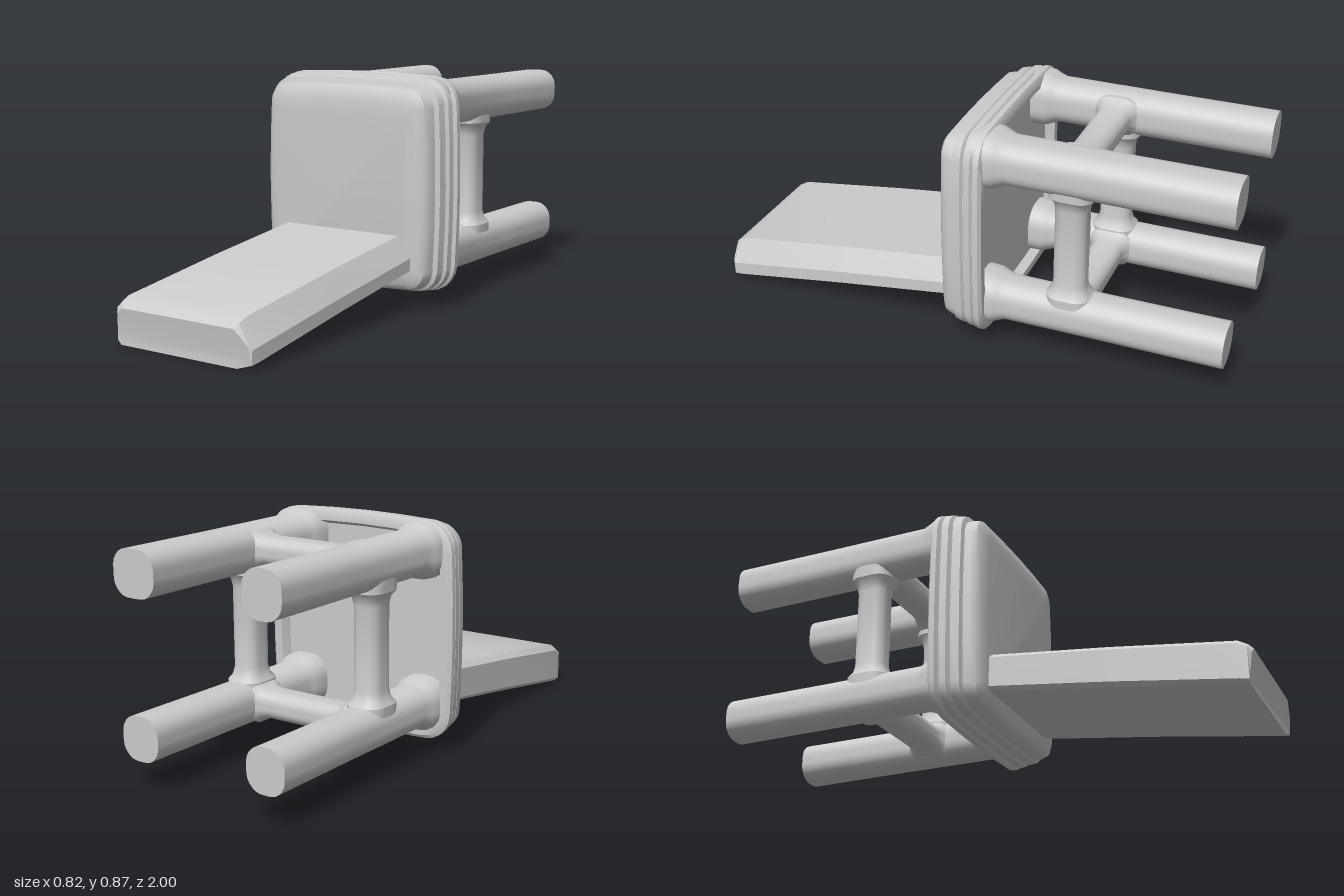
import * as THREE from 'three';
import { toCreasedNormals } from 'three/addons/utils/BufferGeometryUtils.js';

const material = new THREE.MeshStandardMaterial({ color: 0xcccccc });

// Rounded rectangle ring, counter-clockwise seen from +z, with softly bowed sides
function ring(z, x0, x1, y0, y1, r, bow = 0, steps = 5) {
  const cx = (x0 + x1) / 2, cy = (y0 + y1) / 2, hw = (x1 - x0) / 2, hh = (y1 - y0) / 2;
  const points = [];
  const add = (u, v) => {
    const bx = bow * (1 - (v / hh) ** 2), by = bow * (1 - (u / hw) ** 2);
    points.push(new THREE.Vector3(
      cx + u + Math.sign(u) * (bx - bow) * (Math.abs(u) / hw),
      cy + v + Math.sign(v) * (by - bow) * (Math.abs(v) / hh), z));
  };
  const corners = [[1, 1], [-1, 1], [-1, -1], [1, -1]];
  corners.forEach(([sx, sy], k) => {
    for (let i = 0; i <= steps; i++) {
      const a = (k + i / steps) * Math.PI / 2;
      add(sx * (hw - r) + r * Math.cos(a), sy * (hh - r) + r * Math.sin(a));
    }
    // Extra points along the straight side so that it can bow
    const [nx, ny] = corners[(k + 1) % 4];
    const end = (k + 1) * Math.PI / 2;
    for (let i = 1; i < 4; i++) {
      const t = i / 4;
      add(THREE.MathUtils.lerp(sx, nx, t) * (hw - r) + r * Math.cos(end),
        THREE.MathUtils.lerp(sy, ny, t) * (hh - r) + r * Math.sin(end));
    }
  });
  return points;
}

// Skin over rings ordered from +z to -z, with both ends closed
function loft(rings, crease = 0.6) {
  const n = rings[0].length, positions = [], index = [];
  for (const points of rings) for (const p of points) positions.push(p.x, p.y, p.z);
  for (let i = 0; i < rings.length - 1; i++) {
    for (let j = 0; j < n; j++) {
      const a = i * n + j, d = i * n + (j + 1) % n;
      index.push(a, a + n, d, d, a + n, d + n);
    }
  }
  const last = (rings.length - 1) * n;
  for (let j = 1; j < n - 1; j++) {
    index.push(0, j, j + 1, last, last + j + 1, last + j);
  }
  const geometry = new THREE.BufferGeometry();
  geometry.setAttribute('position', new THREE.Float32BufferAttribute(positions, 3));
  geometry.setIndex(index);
  return toCreasedNormals(geometry, crease);
}

export function createModel() {
  const model = new THREE.Group();
  const add = (name, geometry, x = 0, y = 0, z = 0) => {
    const mesh = new THREE.Mesh(geometry, material);
    mesh.name = name;
    mesh.position.set(x, y, z);
    model.add(mesh);
    return mesh;
  };

  // Seat: cushion, three stacked ridges and a shallow hollow underneath
  // [z, half width, bottom, top, corner radius]
  const seatProfile = [
    [0.062, 0.29, 0.13, 0.77, 0.04],
    [0.055, 0.335, 0.09, 0.81, 0.05],
    [0.042, 0.355, 0.073, 0.827, 0.06],
    [0.02, 0.365, 0.065, 0.832, 0.07],
    [-0.002, 0.368, 0.064, 0.832, 0.07],
    [-0.008, 0.385, 0.058, 0.85, 0.08],
    [-0.04, 0.39, 0.056, 0.856, 0.08],
    [-0.047, 0.382, 0.062, 0.848, 0.08],
    [-0.055, 0.397, 0.052, 0.865, 0.09],
    [-0.08, 0.4, 0.05, 0.866, 0.09],
    [-0.087, 0.392, 0.056, 0.858, 0.09],
    [-0.095, 0.408, 0.046, 0.87, 0.1],
    [-0.115, 0.408, 0.046, 0.87, 0.1],
    [-0.125, 0.395, 0.058, 0.855, 0.1],
    [-0.125, 0.365, 0.088, 0.825, 0.08],
    [-0.09, 0.35, 0.1, 0.81, 0.07],
  ];
  add('seat', loft(seatProfile.map(([z, w, y0, y1, r]) => ring(z, -w, w, y0, y1, r, 0.014))));

  // Backrest: a thick slab sloping down, with a broad bevel on one long edge
  const slab = (z, bottom, top, inset = 0) => [
    [0.3 - inset, bottom + 0.02], [0.3 - inset, bottom + 0.03 + (top - bottom) * 0.25],
    [0.25 - inset, top], [-0.255 + inset, top], [-0.28 + inset, top - 0.02],
    [-0.28 + inset, bottom + 0.015], [-0.265 + inset, bottom], [0.24 - inset, bottom],
  ].map(([x, y]) => new THREE.Vector3(x, y, z));
  const backrestRings = [
    slab(1.0, 0.025, 0.135, 0.015), slab(0.985, 0.003, 0.15, 0.004),
    slab(0.95, 0.008, 0.168), slab(0.5, 0.076, 0.23), slab(0, 0.145, 0.29),
  ];
  // Lean the end face so that its upper edge reaches furthest
  backrestRings[0].forEach((p) => { p.z -= (0.135 - p.y) * 0.15; });
  add('backrest', loft(backrestRings, 0.5));

  // Legs: rounded square bars with a flared collar at the seat
  const legs = [
    ['upperLeftLeg', 0.27, 0.755, 0.09, 0.083],
    ['upperRightLeg', -0.27, 0.755, 0.079, 0.083],
    ['lowerLeftLeg', 0.27, 0.188, 0.08, 0.08],
    ['lowerRightLeg', -0.27, 0.188, 0.078, 0.08],
  ];
  const legProfile = [[-0.07, 1.25], [-0.14, 1.22], [-0.16, 1.12], [-0.19, 1.0], [-0.6, 0.99], [-1.0, 1.0]];
  for (const [name, x, y, w, h] of legs) {
    add(name, loft(legProfile.map(([z, s]) => ring(z, -w * s, w * s, -h * s, h * s, 0.055 * s, 0.006))), x, y);
  }

  // Stretchers: four bars joining neighbouring legs, flared where they meet
  const barProfile = [[0.26, 1.4], [0.2, 1.4], [0.18, 1.12], [0.15, 1], [-0.15, 1], [-0.18, 1.12], [-0.2, 1.4], [-0.26, 1.4]];
  const bar = (w, h) => loft(barProfile.map(([z, s]) => ring(z, -w * s, w * s, -h * s, h * s, 0.035 * s, 0.004)));
  const acrossBar = bar(0.062, 0.052).rotateY(Math.PI / 2);
  const uprightBar = bar(0.052, 0.06).rotateX(Math.PI / 2);
  add('upperStretcher', acrossBar, 0, 0.755, -0.422);
  add('lowerStretcher', acrossBar, 0, 0.188, -0.422);
  add('leftStretcher', uprightBar, 0.27, 0.465, -0.42);
  add('rightStretcher', uprightBar, -0.27, 0.465, -0.42);

  return model;
}
